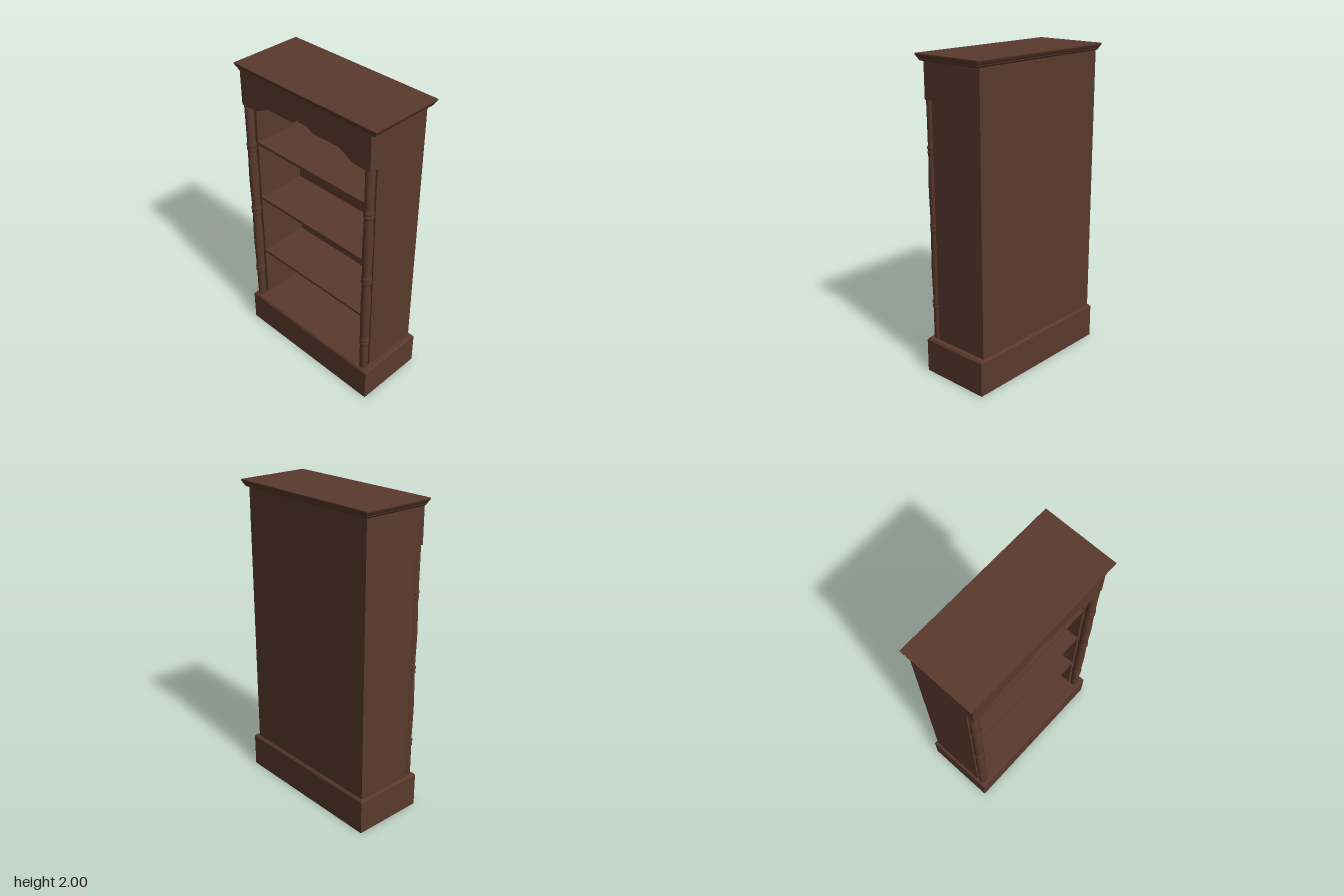
import * as THREE from 'three';

export function createModel() {
  const group = new THREE.Group();
  group.name = 'bookcase';
  const wood = new THREE.MeshStandardMaterial({ color: 0x5a3a2c, side: THREE.DoubleSide });
  wood.name = 'dark walnut';

  function add(name, geometry) {
    const mesh = new THREE.Mesh(geometry, wood);
    mesh.name = name;
    group.add(mesh);
    return mesh;
  }

  // Box given by its extents
  function box(name, x0, x1, y0, y1, z0, z1) {
    add(name, new THREE.BoxGeometry(x1 - x0, y1 - y0, z1 - z0))
      .position.set((x0 + x1) / 2, (y0 + y1) / 2, (z0 + z1) / 2);
  }

  // Stacked rectangular sections [y, x0, x1, z0, z1], with optional end caps
  function loft(sections, capBottom, capTop) {
    const rings = sections.map(([y, x0, x1, z0, z1]) =>
      [[x0, y, z1], [x1, y, z1], [x1, y, z0], [x0, y, z0]]);
    const pos = [];
    const quad = (a, b, c, d) => pos.push(...a, ...b, ...c, ...a, ...c, ...d);
    for (let i = 0; i < rings.length - 1; i++) {
      const lo = rings[i], hi = rings[i + 1];
      for (let k = 0; k < 4; k++) {
        const n = (k + 1) % 4;
        quad(lo[k], lo[n], hi[n], hi[k]);
      }
    }
    if (capBottom) quad(...rings[0].slice().reverse());
    if (capTop) quad(...rings[rings.length - 1]);
    const g = new THREE.BufferGeometry();
    g.setAttribute('position', new THREE.Float32BufferAttribute(pos, 3));
    g.computeVertexNormals();
    return g;
  }

  // The carcass sits slightly off the centre line
  const L = -0.523, R = 0.5, wall = 0.054, mid = (L + R) / 2;
  const back = -0.217, panelFront = 0.166, front = 0.222;
  const floorY = 0.23, topY = 1.96;

  // Plinth, hollow and open underneath, with a bevelled top edge
  add('plinth', loft([
    [0, -0.539, 0.535, -0.234, 0.238],
    [0.217, -0.539, 0.535, -0.234, 0.238],
    [floorY, -0.53, 0.526, -0.225, 0.229],
  ], false, true));

  // Carcass
  box('rightSidePanel', L, L + wall, floorY, topY, back, panelFront);
  box('leftSidePanel', R - wall, R, floorY, topY, back, panelFront);
  box('backPanel', L + wall, R - wall, floorY, topY, back, -0.172);

  // Shelves
  [1.459, 1.049, 0.61].forEach((y, i) =>
    box('shelf' + (i + 1), L + wall, R - wall, y - 0.009, y + 0.009, -0.172, panelFront));

  // Shaped apron: half profile as [distance from middle, y]
  const half = [[0, 1.835], [0.012, 1.831], [0.037, 1.815], [0.06, 1.797], [0.088, 1.787],
    [0.28, 1.787], [0.3, 1.78], [0.35, 1.752], [0.385, 1.737], [0.41, 1.733]];
  const apron = new THREE.Shape();
  apron.moveTo(L, topY);
  apron.lineTo(L, 1.733);
  half.slice().reverse().forEach(([d, y]) => apron.lineTo(mid - d, y));
  half.slice(1).forEach(([d, y]) => apron.lineTo(mid + d, y));
  apron.lineTo(R, 1.733);
  apron.lineTo(R, topY);
  const apronGeo = new THREE.ExtrudeGeometry(apron, { depth: front - panelFront, bevelEnabled: false });
  add('apron', apronGeo).position.z = panelFront;

  // Turned corner columns with three groups of rings and gently swelling shafts
  const profile = [[0, 0.195], [0.027, 0.195]];
  [0.46, 0.96, 1.44].forEach((y, i) => {
    if (i > 0) profile.push([0.0305, y - 0.29], [0.031, y - 0.24], [0.0305, y - 0.19]);
    profile.push([0.027, y - 0.04], [0.027, y - 0.025], [0.031, y - 0.018], [0.031, y - 0.01],
      [0.028, y - 0.004], [0.028, y + 0.004], [0.032, y + 0.011], [0.032, y + 0.02],
      [0.027, y + 0.027], [0.027, y + 0.05]);
  });
  profile.push([0.028, 1.735], [0, 1.735]);
  const columnGeo = new THREE.LatheGeometry(profile.map(([r, y]) => new THREE.Vector2(r, y)), 20);
  for (const [name, x] of [['rightColumn', -0.497], ['leftColumn', 0.477]]) {
    add(name, columnGeo).position.set(x, 0, 0.195);
  }

  // Moulded cornice
  add('cornice', loft([
    [1.957, -0.526, 0.524, -0.222, 0.226],
    [1.966, -0.534, 0.533, -0.229, 0.229],
    [1.97, -0.534, 0.533, -0.229, 0.229],
    [1.978, -0.54, 0.538, -0.235, 0.235],
    [1.993, -0.548, 0.547, -0.243, 0.242],
    [2, -0.548, 0.547, -0.243, 0.242],
  ], true, true));

  return group;
}
